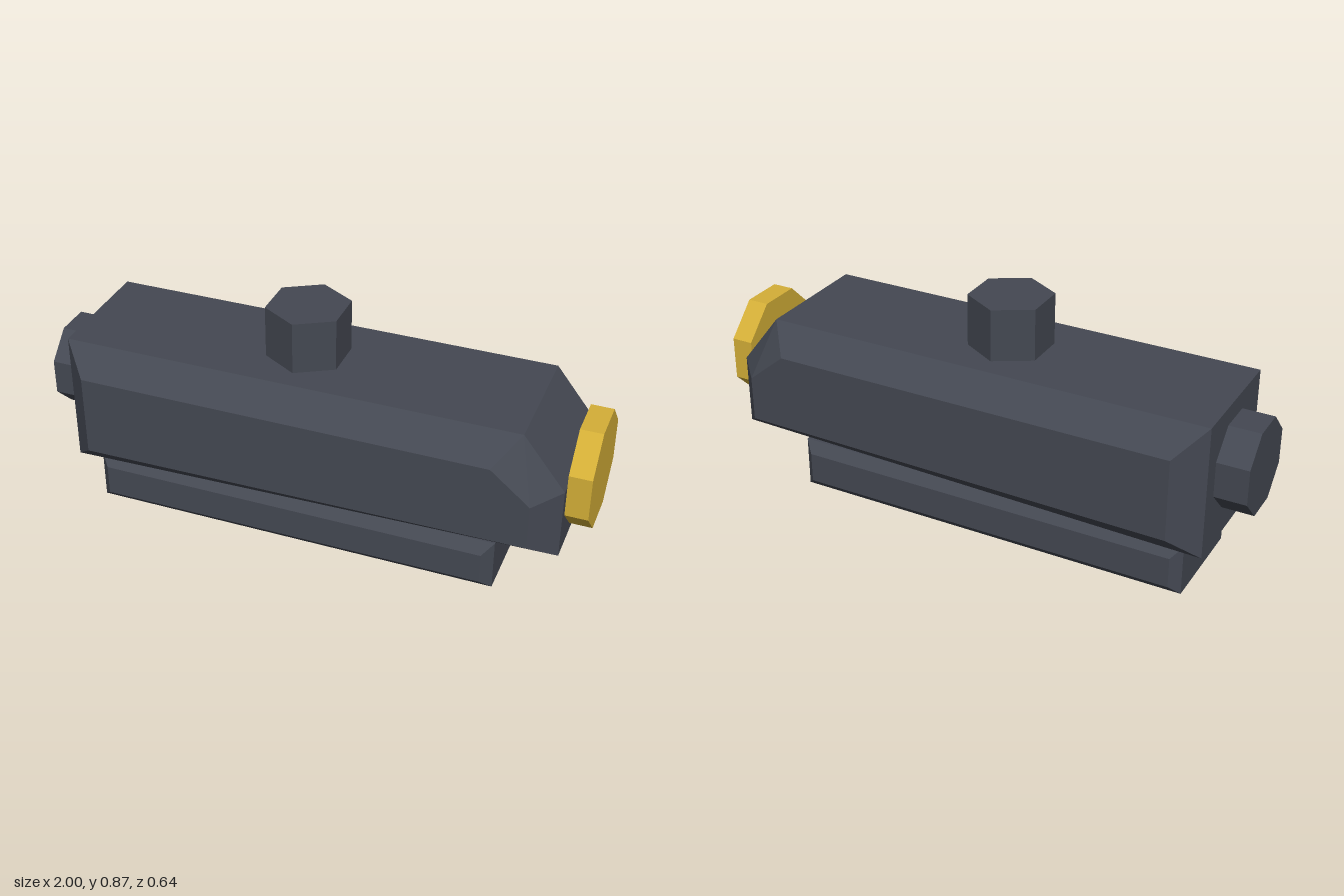
import * as THREE from 'three';

// Joins matching counter-clockwise outlines [x, y] at rising z into a closed solid
function loft(rings) {
  const pos = [];
  const tri = (...pts) => pts.forEach((p) => pos.push(...p));
  const pts = rings.map(({ z, outline }) => outline.map(([x, y]) => [x, y, z]));
  const n = pts[0].length;
  for (let k = 0; k < pts.length - 1; k++) {
    const a = pts[k], b = pts[k + 1];
    for (let i = 0; i < n; i++) {
      const j = (i + 1) % n;
      if (b[i][2] > 0) { tri(a[i], a[j], b[i]); tri(a[j], b[j], b[i]); }
      else { tri(a[i], a[j], b[j]); tri(a[i], b[j], b[i]); }
    }
  }
  const back = pts[0], front = pts[pts.length - 1];
  for (let i = 1; i < n - 1; i++) {
    tri(front[0], front[i], front[i + 1]);
    tri(back[0], back[i + 1], back[i]);
  }
  const geo = new THREE.BufferGeometry();
  geo.setAttribute('position', new THREE.Float32BufferAttribute(pos, 3));
  geo.computeVertexNormals();
  return geo;
}

// Block with a wide core and smaller outlines on both side faces
const chamferedBlock = (core, side, zCore, zSide) => loft([
  { z: -zSide, outline: side },
  { z: -zCore, outline: core },
  { z: zCore, outline: core },
  { z: zSide, outline: side },
]);

const rect = (x0, y0, x1, y1) => [[x0, y0], [x1, y0], [x1, y1], [x0, y1]];

// Eight-sided knob lying along x, with flats up and down
function knobGeometry(flatRadius, x0, x1) {
  const r = flatRadius / Math.cos(Math.PI / 8);
  return new THREE.CylinderGeometry(r, r, x1 - x0, 8)
    .rotateY(Math.PI / 8)
    .rotateZ(-Math.PI / 2)
    .translate((x0 + x1) / 2, 0.455, 0);
}

export function createModel() {
  const group = new THREE.Group();
  const dark = new THREE.MeshStandardMaterial({ color: 0x444852, flatShading: true });
  dark.name = 'dark grey metal';
  const gold = new THREE.MeshStandardMaterial({ color: 0xd4af37, flatShading: true });
  gold.name = 'gold';

  const add = (name, geometry, material) => {
    const mesh = new THREE.Mesh(geometry, material);
    mesh.name = name;
    group.add(mesh);
  };

  // Main housing with a sloped nose and tapered underside
  add('housing', chamferedBlock(
    [[-0.885, 0.19], [0.92, 0.23], [0.92, 0.49], [0.77, 0.68], [-0.885, 0.68]],
    [[-0.79, 0.285], [0.83, 0.305], [0.83, 0.47], [0.69, 0.585], [-0.79, 0.585]],
    0.225, 0.32), dark);

  // Mounting rail below
  add('base', chamferedBlock(
    rect(-0.81, 0, 0.695, 0.19), rect(-0.775, 0.038, 0.657, 0.152), 0.19, 0.226), dark);

  // Six-sided turret on top
  add('topKnob', new THREE.CylinderGeometry(0.15, 0.15, 0.19, 6).translate(-0.06, 0.775, 0), dark);

  // End pieces
  add('rearKnob', knobGeometry(0.156, -1, -0.885), dark);
  add('frontLens', knobGeometry(0.192, 0.92, 1), gold);

  return group;
}
